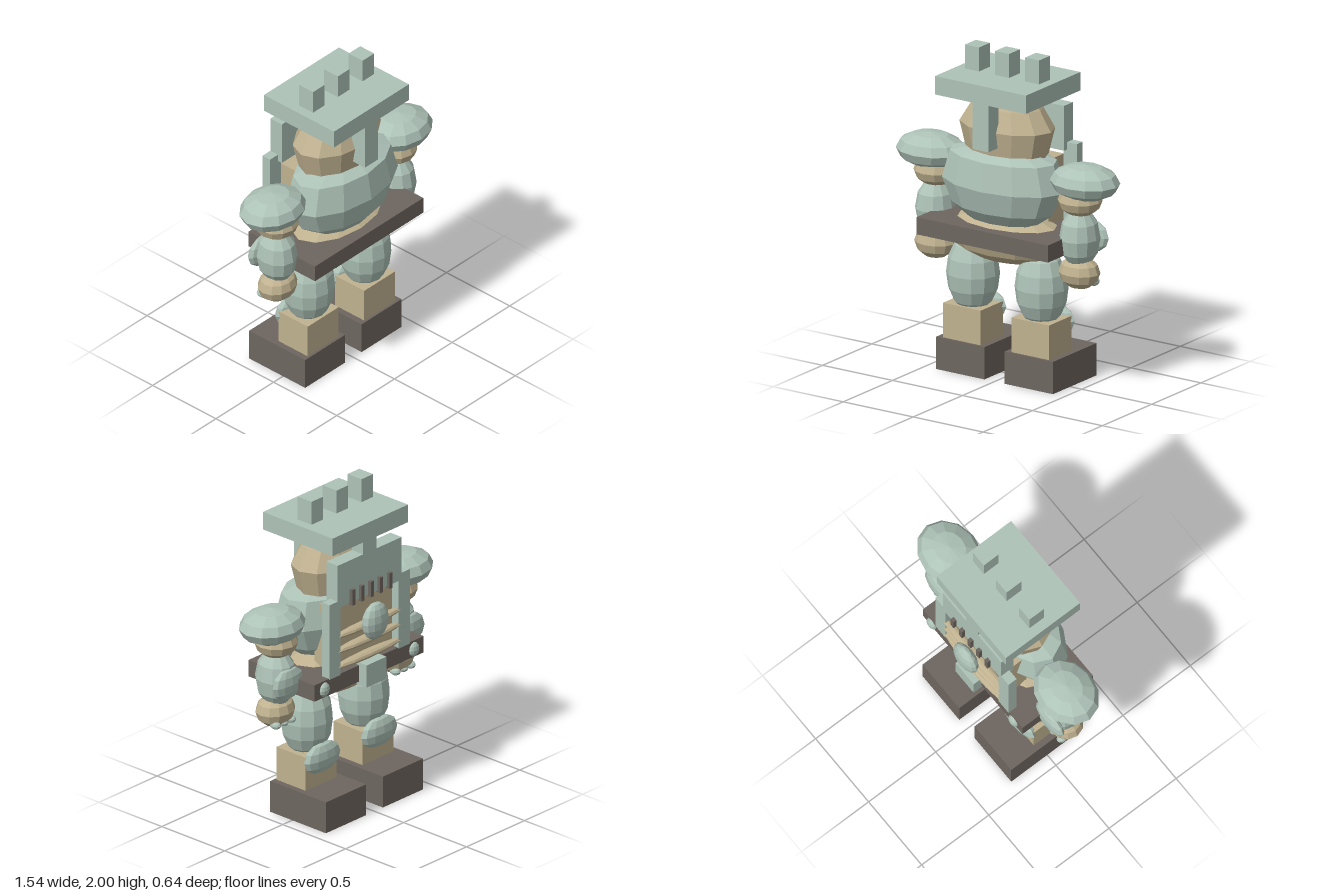
import * as THREE from 'three';

const makeMaterial = (name, color) => {
  const m = new THREE.MeshStandardMaterial({ color, flatShading: true });
  m.name = name;
  return m;
};

export function createModel() {
  const green = makeMaterial('paleGreen', 0xaec3b8);
  const tan = makeMaterial('sand', 0xc0b290);
  const dark = makeMaterial('darkBrown', 0x6e665f);
  const model = new THREE.Group();
  model.name = 'armouredFigure';

  const add = (name, geometry, material, parent = model) => {
    const mesh = new THREE.Mesh(geometry, material);
    mesh.name = name;
    parent.add(mesh);
    return mesh;
  };
  // Box given by its [min, max] range on each axis
  const box = (name, mat, [x0, x1], [y0, y1], [z0, z1], parent) =>
    add(name, new THREE.BoxGeometry(x1 - x0, y1 - y0, z1 - z0), mat, parent)
      .position.set((x0 + x1) / 2, (y0 + y1) / 2, (z0 + z1) / 2);
  // Faceted ellipsoid from centre and radii
  const blob = (name, mat, c, r, parent, rows = 6) => {
    const g = new THREE.SphereGeometry(1, 12, rows).scale(...r);
    add(name, g, mat, parent).position.set(...c);
  };
  // Faceted turned shape, flattened front to back
  const turned = (name, mat, points, depth, z) => {
    const g = new THREE.LatheGeometry(points.map(([x, y]) => new THREE.Vector2(x, y)), 12);
    g.rotateY(Math.PI / 2).scale(1, 1, depth);
    add(name, g, mat).position.z = z;
  };

  // Head, torso and pelvis
  turned('head', tan, [[0, 1.39], [0.27, 1.39], [0.312, 1.55], [0.235, 1.67], [0.17, 1.74], [0, 1.76]], 0.66, 0.045);
  turned('torso', green, [[0, 0.95], [0.24, 0.98], [0.345, 1.055], [0.412, 1.2], [0.36, 1.37], [0.25, 1.4], [0, 1.43]], 0.57, 0.085);
  blob('pelvis', tan, [0, 0.87, 0.045], [0.4, 0.16, 0.23]);
  box('belt', dark, [-0.47, 0.47], [0.85, 0.955], [-0.225, 0.3]);

  // Helmet with crest studs and hanging straps
  box('helmetBrim', green, [-0.325, 0.325], [1.74, 1.853], [-0.235, 0.318]);
  for (const x of [-0.215, 0, 0.215])
    box('crestStud', green, [x - 0.05, x + 0.05], [1.85, 2], [-0.012, 0.098]);
  box('neckStrap', green, [-0.057, 0.057], [1.455, 1.745], [0.215, 0.318]);
  box('faceStrap', green, [-0.057, 0.057], [1.65, 1.745], [-0.23, -0.14]);
  box('faceGuard', green, [-0.275, 0.275], [1.385, 1.66], [-0.23, -0.14]);
  for (let i = -2; i <= 2; i++)
    box('guardSlot', dark, [i * 0.08 - 0.013, i * 0.08 + 0.013], [1.375, 1.475], [-0.252, -0.22]);

  // Chest panel with ribs, boss and buckle
  box('chestPanel', tan, [-0.25, 0.25], [0.94, 1.355], [-0.175, -0.02]);
  for (const y of [1.0, 1.1, 1.195])
    blob('chestRib', tan, [0, y, -0.215], [0.3, 0.026, 0.037]);
  blob('chestBoss', green, [0, 1.23, -0.275], [0.103, 0.117, 0.05], model, 8);
  box('buckle', green, [-0.085, 0.085], [0.83, 0.972], [-0.285, -0.2]);

  for (const side of [-1, 1]) {
    const name = side > 0 ? 'left' : 'right';
    const x = 0.515 * side;
    box('chestPost', green, side > 0 ? [0.25, 0.345] : [-0.345, -0.25], [0.95, 1.43], [-0.23, -0.17]);
    blob('beltStud', green, [0.385 * side, 0.9, -0.225], [0.04, 0.045, 0.025]);

    // Arm
    const arm = new THREE.Group();
    arm.name = name + 'Arm';
    model.add(arm);
    blob('shoulder', green, [0.55 * side, 1.293, 0.038], [0.22, 0.107, 0.178], arm);
    blob('upperArm', tan, [x, 1.175, 0.038], [0.133, 0.095, 0.13], arm);
    blob('forearm', green, [x, 0.945, 0.04], [0.118, 0.185, 0.13], arm);
    blob('forearmPad', green, [0.52 * side, 0.935, -0.062], [0.13, 0.1, 0.04], arm);
    blob('hand', tan, [x, 0.735, 0.045], [0.13, 0.1, 0.108], arm);
    for (const d of [-0.065, 0, 0.065])
      blob('knuckle', green, [x + d, 0.672, -0.015], [0.028, 0.025, 0.038], arm);

    // Leg
    const leg = new THREE.Group();
    leg.name = name + 'Leg';
    leg.position.x = 0.245 * side;
    model.add(leg);
    blob('thigh', green, [0, 0.595, 0.045], [0.16, 0.245, 0.155], leg, 8);
    box('ankle', tan, [-0.134, 0.134], [0.19, 0.41], [-0.07, 0.16], leg);
    blob('kneePad', green, [0, 0.375, -0.078], [0.152, 0.095, 0.046], leg);
    box('foot', dark, [-0.173, 0.173], [0, 0.198], [-0.268, 0.175], leg);
  }
  return model;
}
